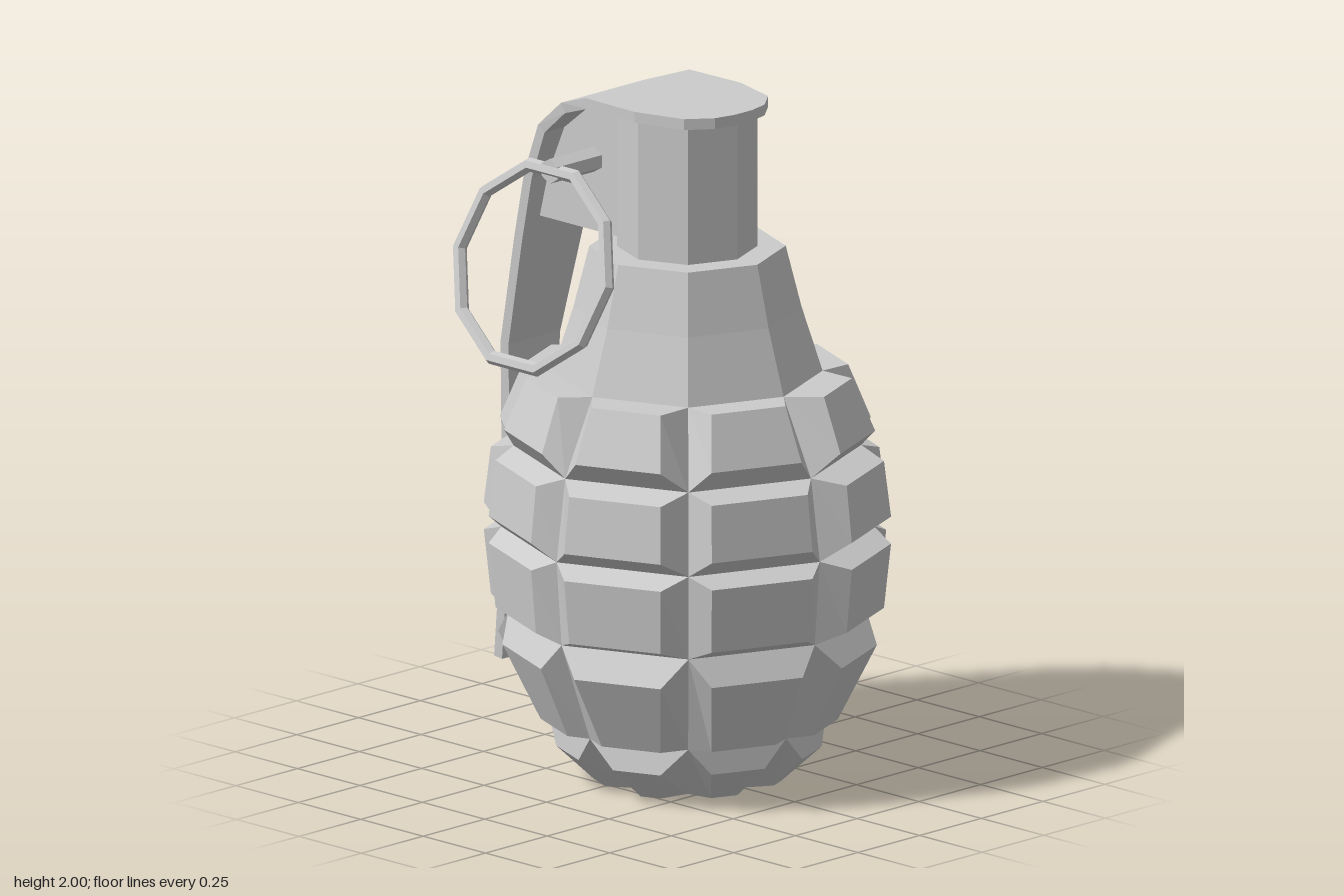
import * as THREE from 'three';
import { mergeGeometries } from 'three/addons/utils/BufferGeometryUtils.js';

const material = new THREE.MeshStandardMaterial({ color: 0xcccccc, flatShading: true });
const CX = 0.07; // axis of the body
const SIDES = 8;

function part(name, geometry, parent, x = 0, y = 0, z = 0) {
  const mesh = new THREE.Mesh(geometry, material);
  mesh.name = name;
  mesh.position.set(x, y, z);
  parent.add(mesh);
  return mesh;
}

// Closed solid through a row of four-cornered loops
function loft(loops) {
  const pos = [];
  const quad = (a, b, c, d) => [a, b, c, a, c, d].forEach((p) => pos.push(...p));
  for (let i = 0; i + 1 < loops.length; i++) {
    const s = loops[i], e = loops[i + 1];
    for (let k = 0; k < 4; k++) {
      const n = (k + 1) % 4;
      quad(s[k], s[n], e[n], e[k]);
    }
  }
  const first = loops[0];
  quad(first[3], first[2], first[1], first[0]);
  quad(...loops[loops.length - 1]);
  const g = new THREE.BufferGeometry();
  g.setAttribute('position', new THREE.Float32BufferAttribute(pos, 3));
  g.computeVertexNormals();
  return g;
}

function lathe(profile) {
  return new THREE.LatheGeometry(profile.map(([r, y]) => new THREE.Vector2(r, y)), SIDES);
}

// One ring of raised blocks; rows are [radius, y] at the core and at the outer face
function blockRow({ core, face }) {
  const step = (Math.PI * 2) / SIDES;
  const at = (r, a, y) => [r * Math.cos(a), y, -r * Math.sin(a)];
  const loop = ([[r0, y0], [r1, y1]], a, scale, gap) => {
    const g0 = gap / r0, g1 = gap / r1;
    return [
      at(r0 * scale, a + g0, y0), at(r0 * scale, a + step - g0, y0),
      at(r1 * scale, a + step - g1, y1), at(r1 * scale, a + g1, y1),
    ];
  };
  const blocks = [];
  for (let i = 0; i < SIDES; i++) {
    const odd = i % 2;
    blocks.push(loft([
      loop(core, i * step, 1, 0),
      loop(face, i * step, odd ? 0.975 : 1, odd ? 0.068 : 0.08),
    ]));
  }
  return mergeGeometries(blocks);
}

// Curved strap: stations of [x, y, half width] along its outer surface
function leverGeometry() {
  const t = 0.032;
  const path = [
    [0.295, 2, 0.035], [0.28, 2, 0.1], [0.225, 2, 0.17], [0.07, 2, 0.215], [-0.13, 2, 0.21],
    [-0.27, 1.95, 0.168], [-0.38, 1.86, 0.15], [-0.45, 1.7, 0.136], [-0.5, 1.5, 0.125],
    [-0.575, 1.17, 0.105], [-0.595, 0.63, 0.078], [-0.65, 0.215, 0.055],
  ];
  return loft(path.map(([x, y, w], i) => {
    const a = path[Math.max(i - 1, 0)], b = path[Math.min(i + 1, path.length - 1)];
    const d = new THREE.Vector2(b[0] - a[0], b[1] - a[1]).normalize();
    const ix = x - d.y * t, iy = y + d.x * t;
    return [[ix, iy, -w], [ix, iy, w], [x, y, w], [x, y, -w]];
  }));
}

export function createModel() {
  const model = new THREE.Group();
  model.name = 'grenade';

  // Body: octagonal core with five rings of blocks
  const body = new THREE.Group();
  body.name = 'body';
  body.position.x = CX;
  model.add(body);
  const core = [[0.22, 0], [0.395, 0.18], [0.51, 0.48], [0.53, 0.73], [0.495, 0.97], [0.385, 1.19]];
  part('core', lathe([[0, 0], ...core, [0, 1.19]]), body);
  const faces = [
    [[0.28, 0], [0.39, 0.1]],
    [[0.435, 0.18], [0.545, 0.4]],
    [[0.565, 0.51], [0.585, 0.7]],
    [[0.585, 0.78], [0.565, 0.945]],
    [[0.54, 1.035], [0.475, 1.19]],
  ];
  faces.forEach((face, i) => {
    part(`blockRow${i + 1}`, blockRow({ core: [core[i], core[i + 1]], face }), body);
  });

  // Shoulder and neck
  part('shoulder', lathe([[0.385, 1.19], [0.325, 1.38], [0.28, 1.56], [0, 1.56]]), body);
  part('neck', lathe([[0.2, 1.55], [0.2, 1.975], [0, 1.975]]), body);

  // Safety lever and the bracket under it
  part('lever', leverGeometry(), model);
  const outline = [
    [0, 1.56], [0, 1.975], [-0.13, 1.975], [-0.26, 1.93], [-0.36, 1.85], [-0.43, 1.7], [-0.463, 1.56],
  ].map(([x, y]) => new THREE.Vector2(x, y));
  const bracket = new THREE.ExtrudeGeometry(new THREE.Shape(outline), { depth: 0.14, bevelEnabled: false });
  part('bracket', bracket, model, 0, 0, -0.07);

  // Pin through the bracket, with the pull ring hanging from it
  const pin = new THREE.CylinderGeometry(0.037, 0.037, 0.36, 6).rotateX(Math.PI / 2);
  part('pin', pin, model, -0.235, 1.77, 0.07);
  const ring = part('pullRing', new THREE.TorusGeometry(0.295, 0.021, 6, 10), model, -0.235, 1.5, 0.315);
  ring.rotation.x = -0.28;

  return model;
}
